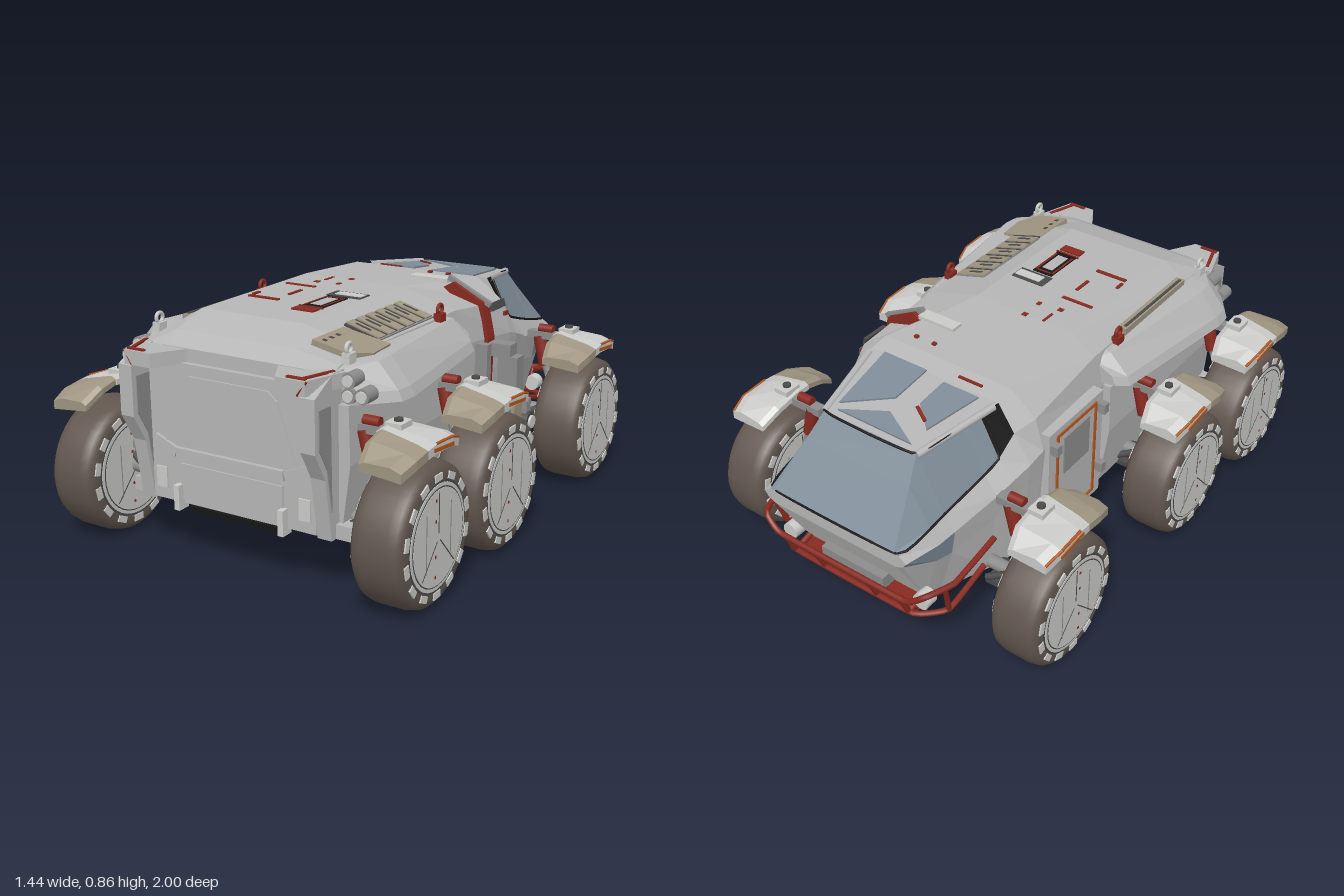
import * as THREE from 'three';

const paint = (name, color) => Object.assign(new THREE.MeshStandardMaterial({ color }), { name });
const M = {
  hull: paint('hull grey', 0xb6b6b6), light: paint('light grey', 0xcacac8), steel: paint('steel grey', 0x8c8c8c),
  dark: paint('dark grey', 0x4a4a4a), black: paint('black trim', 0x161616), glass: paint('blue grey glass', 0x7f8c97),
  tan: paint('tan', 0x9f9581), tire: paint('tire brown', 0x61564e), red: paint('red', 0x872a20), orange: paint('orange', 0xb2581f),
};
const V = (p) => new THREE.Vector3(...p);

function add(parent, name, geo, mat, pos = [0, 0, 0], rot = [0, 0, 0]) {
  const m = new THREE.Mesh(geo, mat);
  m.name = name;
  m.position.set(...pos);
  m.rotation.set(...rot);
  parent.add(m);
  return m;
}
const box = (g, name, size, mat, pos, rot) => add(g, name, new THREE.BoxGeometry(...size), mat, pos, rot);
const cyl = (g, name, r, h, mat, pos, rot, n = 20) => add(g, name, new THREE.CylinderGeometry(r, r, h, n), mat, pos, rot);
const bar = (g, name, a, b, r, mat) => add(g, name, new THREE.TubeGeometry(new THREE.LineCurve3(V(a), V(b)), 1, r, 10), mat);
const pipe = (g, name, pts, r, mat, closed = false) =>
  add(g, name, new THREE.TubeGeometry(new THREE.CatmullRomCurve3(pts.map(V), closed, 'catmullrom', 0.15), pts.length * 8, r, 8, closed), mat);

// Skin over cross-sections [z, [[x, y], ...]] with flat faces; pick(i, j) chooses the material of a face
function loft(g, name, sections, mats, side = 1, pick = () => 0) {
  const list = [].concat(mats), tris = list.map(() => []);
  const rings = sections.map(([z, pts]) => {
    const r = pts.map(([x, y]) => [x * side, y, z]);
    return side < 0 ? r.reverse() : r;
  });
  const n = rings[0].length, last = rings[rings.length - 1];
  for (let i = 0; i < rings.length - 1; i++) for (let j = 0; j < n; j++) {
    const k = (j + 1) % n, a = rings[i][j], b = rings[i][k], c = rings[i + 1][k], d = rings[i + 1][j];
    tris[pick(i, j)].push(a, b, c, a, c, d);
  }
  for (let j = 1; j < n - 1; j++) tris[0].push(rings[0][0], rings[0][j + 1], rings[0][j], last[0], last[j], last[j + 1]);
  const geo = new THREE.BufferGeometry();
  geo.setAttribute('position', new THREE.Float32BufferAttribute(tris.flat(2), 3));
  let start = 0;
  tris.forEach((t, i) => { geo.addGroup(start, t.length, i); start += t.length; });
  geo.computeVertexNormals();
  return add(g, name, geo, list.length > 1 ? list : list[0]);
}

// Extruded outline lying flat (points are x, z) or standing sideways (points are z, y)
function slab(g, name, pts, depth, mat, at, upright) {
  const shape = new THREE.Shape(pts.map(([a, b]) => new THREE.Vector2(upright ? -a : a, upright ? b : -b)));
  const geo = new THREE.ExtrudeGeometry(shape, { depth, bevelEnabled: false });
  if (upright) geo.rotateY(Math.PI / 2); else geo.rotateX(-Math.PI / 2);
  geo.translate(upright ? at : 0, upright ? 0 : at, 0);
  return add(g, name, geo, mat);
}

function hull(g) {
  // Each row: z, then bottom edge, lower side, belt, glass foot and roof edge; last value is the right roof edge
  const rows = [
    [-1.0, [.27, .47], [.30, .485], [.315, .505], [.285, .525], [.265, .53], .265],
    [-.86, [.27, .22], [.325, .42], [.34, .50], [.305, .555], [.223, .69], .223],
    [-.79, [.28, .205], [.335, .41], [.35, .51], [.31, .57], [.20, .77], .20],
    [-.60, [.35, .20], [.375, .45], [.385, .55], [.33, .615], [.245, .79], .245],
    [-.53, [.37, .20], [.39, .50], [.40, .575], [.34, .645], [.262, .797], .262],
    [-.45, [.385, .20], [.405, .50], [.415, .60], [.345, .705], [.28, .806], .28],
    [-.38, [.39, .20], [.41, .50], [.42, .62], [.385, .74], [.28, .825], .27],
    [0, [.39, .20], [.40, .50], [.40, .65], [.375, .78], [.28, .845], .15],
    [.64, [.39, .20], [.40, .50], [.40, .65], [.375, .78], [.28, .84], .15],
    [.78, [.39, .20], [.40, .50], [.40, .65], [.375, .765], [.28, .795], .20],
    [.85, [.37, .20], [.38, .50], [.38, .65], [.375, .745], [.28, .757], .28],
  ];
  const sections = rows.map(([z, ...p]) => {
    const roofRight = p.pop(), half = p.slice(0, 4), e = p[4];
    return [z, [...half, [roofRight, e[1]], [-e[0], e[1]], ...half.map(([x, y]) => [-x, y]).reverse()]];
  });
  loft(g, 'hull', sections, [M.hull, M.glass, M.black, M.light], 1, (i, j) => {
    if (j === 9) return 3;
    if (j === 3 || j === 5) return i < 4 ? 1 : i === 4 ? 2 : 0;
    return (j === 4 && i < 2) || ((j === 1 || j === 7) && i < 2) ? 1 : 0;
  });
  // Black seal round the windscreen and side glass, and a grey sill at the nose
  pipe(g, 'windscreenSeal', [[-.34, .645, -.53], [-.31, .57, -.79], [-.28, .528, -.995], [.28, .528, -.995], [.31, .57, -.79], [.34, .645, -.53],
    [.262, .797, -.53], [.2, .77, -.79], [-.2, .77, -.79], [-.262, .797, -.53]], .0045, M.black, true);
  box(g, 'noseSill', [.5, .018, .012], M.hull, [0, .518, -.992]);
  for (const s of [-1, 1]) bar(g, 'roofPillar', [s * .2, .765, -.79], [s * .275, .80, -.47], .014, M.hull);
  // Roof windows
  const windows = [[[-.16, -.77], [.16, -.77], [0, -.685]], [[-.21, -.47], [-.06, -.47], [-.06, -.6], [-.16, -.69]],
    [[.03, -.45], [.22, -.45], [.18, -.74], [.03, -.62]]];
  for (const pts of windows) {
    const w = slab(g, 'roofWindow', pts, .007, M.glass, 0);
    w.rotation.x = -.104;
    w.position.set(0, .853, 0);
  }
}

function sponson(g, s) {
  // Shoulder over the two rear wheels
  const ring = (x, lo, hi) => [[.34, lo], [x - .08, lo], [x, lo + .015], [x - .015, lo + .05], [x - .09, hi], [.34, hi + .005]];
  loft(g, 'shoulder', [[.02, ring(.455, .66, .745)], [.07, ring(.49, .645, .77)], [.62, ring(.555, .635, .775)], [.69, ring(.55, .635, .77)],
    [.80, ring(.47, .64, .755)]], M.hull, s);
  const wall = [[.35, .2], [.40, .2], [.435, .45], [.43, .65], [.35, .65]];
  loft(g, 'sideWall', [[.03, wall], [.82, wall]], M.hull, s);
  // Rear lamps
  for (const [x, y] of [[.425, .73], [.475, .685], [.425, .68]]) {
    cyl(g, 'lampHousing', .026, .06, M.steel, [s * x, y, .785], [Math.PI / 2, 0, 0]);
    cyl(g, 'lampLens', .019, .008, M.light, [s * x, y, .818], [Math.PI / 2, 0, 0]);
  }
  // Lifting hooks
  for (const [z, mat] of [[.745, M.light], [.14, M.red]]) {
    box(g, 'hookBase', [.03, .035, .04], mat, [s * .385, .783, z]);
    add(g, 'hookRing', new THREE.TorusGeometry(.017, .007, 8, 16), mat, [s * .385, .815, z], [0, Math.PI / 2, 0]);
  }
  // Rear buttress beside the ramp
  slab(g, 'buttress', [[.78, .2], [.865, .2], [.90, .42], [.955, .52], [.955, .70], [.85, .757], [.78, .757]], .055, M.hull, s * .365 - .0275, true);
  slab(g, 'buttressInset', [[.865, .30], [.89, .45], [.935, .53], [.935, .66], [.87, .66]], .062, M.steel, s * .365 - .031, true);
  box(g, 'lowerRail', [.06, .05, .1], M.hull, [s * .42, .225, .79]);
  box(g, 'browMark', [.012, .007, .13], M.red, [s * .36, .758, .885], [0, s * -.3, 0]);
  box(g, 'browMark', [.07, .007, .012], M.red, [s * .32, .758, .945]);
  bar(g, 'browEdgeMark', [s * .33, .705, .958], [s * .365, .755, .955], .004, M.red);
}

function rear(g) {
  slab(g, 'rearBrow', [[-.41, .8], [-.36, .96], [-.25, .96], [-.18, .84], [.18, .84], [.25, .96], [.36, .96], [.41, .8]], .05, M.hull, .705);
  box(g, 'ramp', [.67, .5, .05], M.hull, [0, .46, .845]);
  const door = new THREE.Shape([[-.27, .43], [.27, .43], [.235, .52], [.195, .64], [.16, .67], [-.16, .67], [-.195, .64], [-.235, .52]].map((p) => new THREE.Vector2(...p)));
  add(g, 'rampPanel', new THREE.ExtrudeGeometry(door, { depth: .009, bevelEnabled: false }), M.hull, [0, 0, .868]);
  box(g, 'rampRidge', [.44, .035, .022], M.hull, [0, .395, .875]);
  box(g, 'rampLower', [.42, .13, .012], M.hull, [0, .29, .87]);
  box(g, 'rampFoot', [.36, .018, .05], M.black, [0, .195, .85]);
  for (const s of [-1, 1]) {
    box(g, 'rampStep', [.045, .075, .009], M.light, [s * .295, .29, .872]);
    box(g, 'rampHinge', [.022, .09, .05], M.light, [s * .215, .235, .875]);
    box(g, 'rampRidgeEnd', [.10, .035, .02], M.hull, [s * .27, .412, .872], [0, 0, s * .4]);
  }
}

function roof(g) {
  const tilt = [0, 0, -.28];
  box(g, 'roofGrilleBase', [.14, .02, .37], M.steel, [.295, .797, .335], tilt);
  for (let i = 0; i < 6; i++) {
    const z = .175 + i * .064;
    box(g, 'roofGrilleSlat', [.135, .012, .043], M.tan, [.295, .806, z], tilt);
    box(g, 'roofGrilleSlot', [.06, .008, .01], M.dark, [.285, .813, z], tilt);
    box(g, 'roofGrilleGap', [.13, .008, .009], M.dark, [.295, .806, z + .032], tilt);
  }
  const hatch = slab(g, 'roofEquipmentPanel', [[-.09, -.09], [.09, -.1], [.1, .02], [.05, .1], [-.09, .1]], .02, M.tan, 0);
  hatch.position.set(.32, .782, .63);
  hatch.rotation.z = -.2;
  for (const z of [.62, .66, .7]) box(g, 'panelSocket', [.015, .008, .015], M.dark, [.265, .811, z], [0, 0, -.2]);
  box(g, 'roofSideRail', [.035, .03, .43], M.tan, [-.37, .785, .405]);
  box(g, 'roofSideRailSlot', [.010, .008, .4], M.dark, [-.375, .800, .405]);
  box(g, 'roofVent', [.14, .02, .07], M.dark, [.06, .837, .23]);
  box(g, 'roofVentCover', [.11, .012, .04], M.light, [.07, .844, .23]);
  // Roof hatch and painted marks: x, z, width, length
  box(g, 'roofHatch', [.085, .008, .17], M.black, [.045, .8425, .36]);
  box(g, 'roofHatchLid', [.045, .012, .11], M.hull, [.045, .8425, .365]);
  for (const [x, z, w, l] of [[.008, .36, .008, .14], [.082, .36, .008, .14], [.045, .29, .06, .008], [.045, .485, .09, .04], [.045, .45, .1, .008],
    [-.18, .18, .13, .014], [-.18, .415, .13, .014], [-.13, .29, .012, .08], [-.245, .37, .012, .04], [-.15, .03, .01, .06],
    [-.07, 0, .02, .02], [-.07, .09, .015, .02], [-.16, .1, .02, .02], [.09, -.33, .015, .015], [.17, -.33, .015, .015]]) {
    box(g, 'roofMark', [w, .008, l], M.red, [x, z < -.2 ? .833 : .8435, z]);
  }
  box(g, 'cabMark', [.1, .006, .01], M.red, [-.14, .818, -.42]);
  box(g, 'cabMark', [.012, .006, .08], M.red, [-.1, .797, -.64], [-.1, 1, 0]);
}

function wheel(g, s, z) {
  const w = new THREE.Group();
  w.name = 'wheel';
  w.position.set(s * .62, .246, z);
  w.rotation.z = Math.PI / 2;
  g.add(w);
  const half = [[.17, -.092], [.20, -.094], [.222, -.09], [.238, -.075], [.245, -.045]];
  const profile = [...half, ...half.map(([r, y]) => [r, -y]).reverse()].map((p) => new THREE.Vector2(...p));
  add(w, 'tire', new THREE.LatheGeometry(profile, 40), M.tire);
  cyl(w, 'rimGroove', .186, .189, M.dark, [0, 0, 0], [0, 0, 0], 36);
  cyl(w, 'rim', .179, .193, M.light, [0, 0, 0], [0, 0, 0], 36);
  cyl(w, 'hubGroove', .167, .195, M.dark, [0, 0, 0], [0, 0, 0], 36);
  cyl(w, 'hubDisc', .163, .197, M.light, [0, 0, 0], [0, 0, 0], 36);
  for (let i = 0; i < 14; i++) {
    const a = i / 14 * Math.PI * 2;
    box(w, 'rimTab', [.024, .194, .045], M.light, [Math.cos(a) * .2, 0, Math.sin(a) * .2], [0, -a, 0]);
  }
  // Hub seams and marks
  for (const a of [0, 2.4, -2.4]) box(w, 'hubSeam', [.14, .199, .004], M.dark, [Math.cos(a) * .085, 0, Math.sin(a) * .085], [0, -a, 0]);
  for (const q of [-.08, .08]) box(w, 'hubSeam', [.2, .199, .004], M.steel, [0, 0, q]);
  for (const q of [-.13, -.06, .06, .13]) box(w, 'hubMark', [.01, .2, .008], M.red, [q, 0, .02]);
}

function corner(g, s, z) {
  const ring = (yi, yo, xi, xo) => [[xi, yi - .03], [xo, yo - .03], [xo, yo], [xo - .04, yo + .015], [xi + .02, yi], [xi, yi - .01]];
  loft(g, 'fender', [[z - .16, ring(.535, .53, .55, .70)], [z - .09, ring(.58, .555, .53, .715)], [z + .02, ring(.60, .56, .53, .715)],
    [z + .07, ring(.597, .555, .53, .715)]], M.light, s);
  loft(g, 'fenderTail', [[z + .07, ring(.597, .555, .535, .715)], [z + .14, ring(.58, .545, .535, .715)],
    [z + .21, ring(.535, .52, .55, .70)]], M.tan, s);
  // Orange edge trim
  bar(g, 'fenderTrim', [s * .712, .555, z - .09], [s * .712, .562, z + .02], .005, M.orange);
  bar(g, 'fenderTrim', [s * .697, .532, z - .16], [s * .712, .555, z - .09], .005, M.orange);
  box(g, 'fenderTrim', [.009, .012, .13], M.orange, [s * .714, .538, z - .03], [-.1, 0, 0]);
  box(g, 'fenderMount', [.06, .02, .07], M.light, [s * .57, .598, z]);
  cyl(g, 'fenderBolt', .015, .02, M.dark, [s * .57, .607, z]);
  box(g, 'fenderArm', [.14, .03, .04], M.steel, [s * .47, .565, z]);
  // Red and steel shock absorber, lower arms and axle
  bar(g, 'shockBody', [s * .445, .56, z], [s * .475, .44, z], .026, M.red);
  cyl(g, 'shockFoot', .018, .06, M.red, [s * .475, .59, z], [0, 0, Math.PI / 2]);
  bar(g, 'shockRod', [s * .47, .46, z], [s * .52, .32, z], .016, M.steel);
  bar(g, 'axle', [s * .36, .25, z], [s * .56, .25, z], .025, M.steel);
  for (const d of [-.05, .05]) bar(g, 'wishbone', [s * .38, .22, z + d], [s * .54, .30, z], .013, M.dark);
  box(g, 'armBracket', [.07, .02, .09], M.dark, [s * .405, .197, z]);
  box(g, 'armBracketMark', [.03, .03, .03], M.red, [s * .425, .215, z]);
}

function bumper(g) {
  pipe(g, 'upperBumper', [[-.40, .40, -.64], [-.40, .36, -.86], [-.36, .36, -.97], [-.28, .31, -.985], [.28, .31, -.985], [.36, .36, -.97], [.40, .36, -.86],
    [.40, .40, -.64]], .011, M.red);
  pipe(g, 'lowerBumper', [[-.37, .27, -.66], [-.37, .22, -.86], [-.27, .21, -.94], [.27, .21, -.94], [.37, .22, -.86], [.37, .27, -.66]], .011, M.red);
  for (const s of [-1, 1]) {
    for (const x of [.12, .26]) bar(g, 'bumperUpright', [s * x, .21, -.94], [s * x, .31, -.985], .01, M.red);
    bar(g, 'bumperUpright', [s * .37, .22, -.86], [s * .39, .36, -.90], .01, M.red);
    bar(g, 'bumperStay', [s * .26, .21, -.94], [s * .26, .25, -.80], .012, M.red);
    cyl(g, 'headlamp', .032, .05, M.light, [s * .30, .265, -.90], [Math.PI / 2, 0, 0]);
  }
  box(g, 'skidPlate', [.54, .02, .24], M.red, [0, .2, -.80]);
  box(g, 'winch', [.28, .05, .06], M.steel, [0, .26, -.90]);
}

function sideGear(g) {
  // Red hoop and folded equipment arm
  for (const z of [-.23, -.2]) {
    const ring = [[.3, .2], [.41, .2], [.42, .5], [.425, .64], [.395, .775], [.27, .84], [.2, .8]];
    loft(g, 'redHoop', [[z, ring], [z + .024, ring]], M.red);
  }
  box(g, 'armRail', [.16, .016, .05], M.light, [.16, .838, -.21]);
  box(g, 'armRailSlope', [.2, .02, .018], M.steel, [.33, .808, -.203], [0, 0, -.46]);
  box(g, 'armShoulder', [.11, .05, .06], M.steel, [.46, .60, -.21]);
  box(g, 'armColumn', [.05, .28, .035], M.steel, [.44, .50, -.105]);
  box(g, 'armPost', [.07, .24, .07], M.tan, [.505, .32, -.215]);
  box(g, 'armHead', [.08, .14, .06], M.steel, [.505, .51, -.21]);
  box(g, 'armBase', [.1, .03, .2], M.dark, [.45, .22, -.21]);
  for (const z of [-.30, -.12]) {
    cyl(g, 'armJoint', .04, .08, M.dark, [.515, .3, z], [0, 0, Math.PI / 2]);
    cyl(g, 'armJointCap', .025, .1, M.light, [.515, .3, z], [0, 0, Math.PI / 2]);
    bar(g, 'armLink', [.51, .3, z], [.51, .48, -.21], .014, M.steel);
    box(g, 'armClaw', [.06, .06, .04], M.steel, [.515, .36, z]);
  }
  box(g, 'sideMark', [.009, .015, .03], M.red, [.408, .70, -.36]);
  box(g, 'sideVent', [.012, .03, .11], M.dark, [.395, .74, -.31], [0, 0, .3]);
  // Opposite side door with thin orange outline
  box(g, 'door', [.05, .46, .34], M.hull, [-.412, .45, -.2]);
  for (const z of [-.32, -.08]) box(g, 'doorOutline', [.008, .40, .012], M.orange, [-.438, .45, z]);
  for (const y of [.25, .65]) box(g, 'doorOutline', [.008, .012, .252], M.orange, [-.438, y, -.2]);
  for (const z of [-.35, -.05]) for (const y of [.35, .62]) box(g, 'doorHinge', [.035, .04, .03], M.steel, [-.45, y, z]);
  box(g, 'doorPanel', [.008, .16, .16], M.steel, [-.438, .54, -.2]);
  box(g, 'doorStep', [.08, .02, .2], M.steel, [-.43, .21, -.2]);
}

export function createModel() {
  const g = new THREE.Group();
  g.name = 'sixWheelRover';
  hull(g);
  rear(g);
  roof(g);
  bumper(g);
  sideGear(g);
  for (const s of [-1, 1]) {
    sponson(g, s);
    for (const z of [.75, .215, -.61]) {
      wheel(g, s, z);
      corner(g, s, z);
    }
  }
  return g;
}
